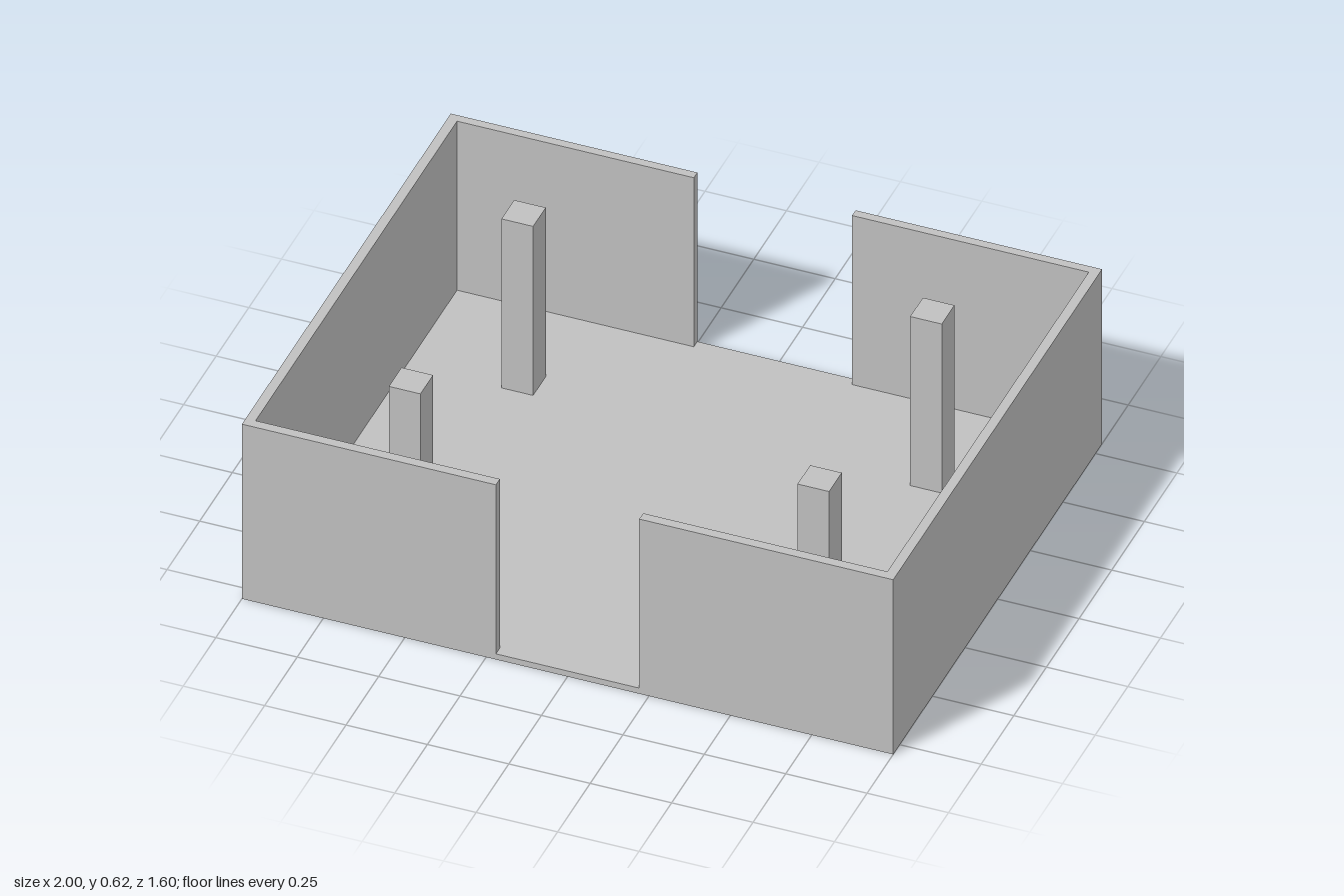
import * as THREE from 'three';

const W = 1, D = 0.8, H = 0.62; // half width, half depth, total height
const FLOOR = 0.02, WALL = 0.03;
const FRONT_GAP = 0.22, BACK_GAP = 0.243; // half widths of the openings

export function createModel() {
  const group = new THREE.Group();
  const grey = new THREE.MeshStandardMaterial({ color: 0xc0c0c0 });
  grey.name = 'plain grey';

  const add = (name, geometry, x = 0, y = 0, z = 0) => {
    const mesh = new THREE.Mesh(geometry, grey);
    mesh.name = name;
    mesh.position.set(x, y, z);
    group.add(mesh);
  };

  // Floor slab
  add('floor', new THREE.BoxGeometry(2 * W, FLOOR, 2 * D), 0, FLOOR / 2, 0);

  // Each half of the enclosure is one C-shaped wall, open at front and back
  for (const [side, name] of [[1, 'leftWall'], [-1, 'rightWall']]) {
    const plan = [
      [FRONT_GAP, D], [W, D], [W, -D], [BACK_GAP, -D],
      [BACK_GAP, -D + 0.027], [W - WALL, -D + 0.027], [W - WALL, D - WALL], [FRONT_GAP, D - WALL],
    ].map(([x, z]) => new THREE.Vector2(side * x, -z));
    const wall = new THREE.ExtrudeGeometry(new THREE.Shape(plan), { depth: H - FLOOR, bevelEnabled: false });
    wall.rotateX(-Math.PI / 2);
    add(name, wall, 0, FLOOR, 0);
  }

  // Four square pillars, level with the wall tops
  for (const x of [-0.63, 0.625]) {
    for (const z of [-0.435, 0.428]) {
      add('pillar', new THREE.BoxGeometry(0.097, H - FLOOR, 0.097), x, (H + FLOOR) / 2, z);
    }
  }
  return group;
}
